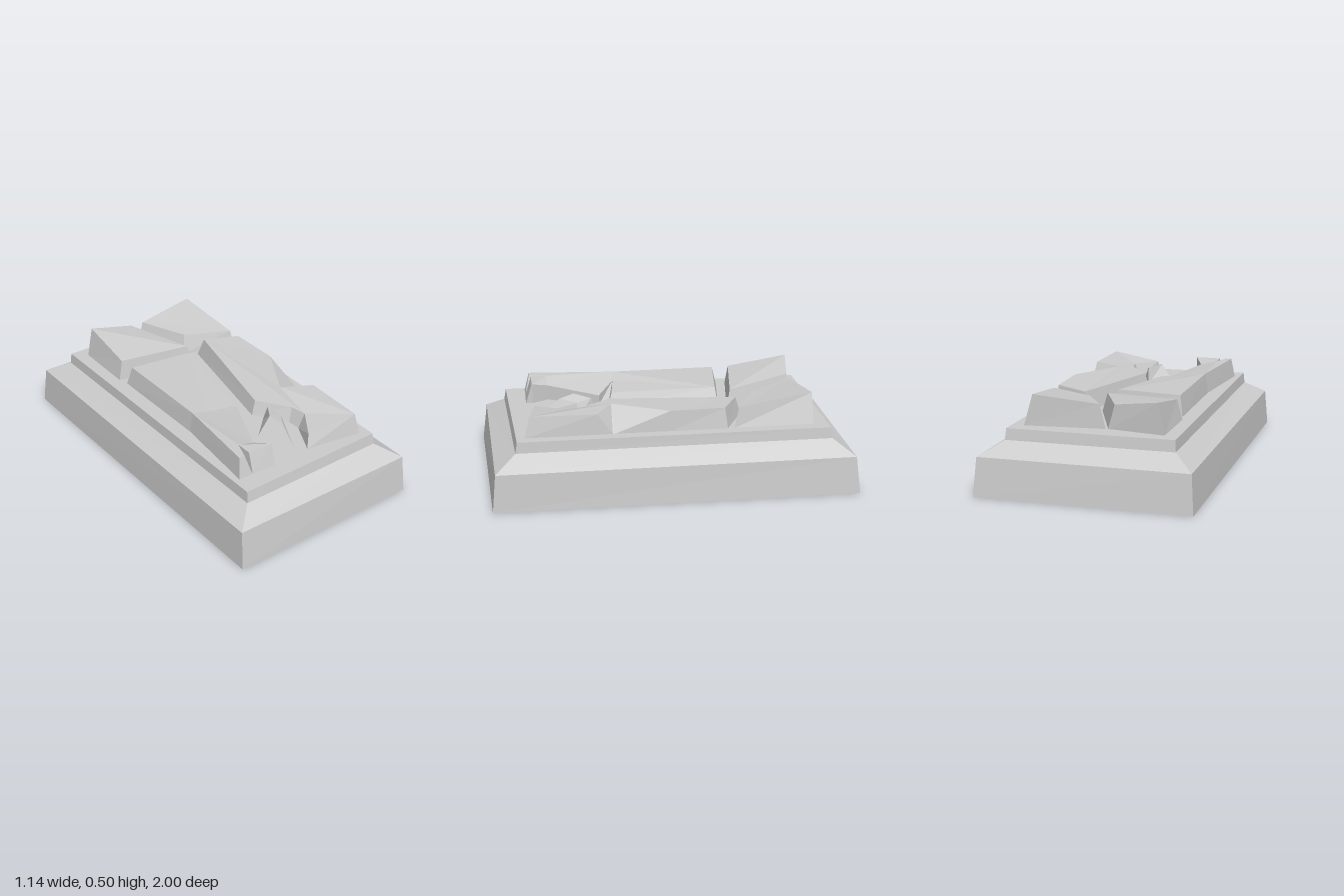
import * as THREE from 'three';

const material = new THREE.MeshStandardMaterial({ color: 0xcccccc, flatShading: true, side: THREE.DoubleSide });

// Stacks rings of [x, y, z] corners (clockwise seen from above) and caps the last one
function loft(name, rings, closeBottom = false) {
  const pos = [];
  const tri = (a, b, c) => pos.push(...a, ...b, ...c);
  for (let r = 0; r < rings.length - 1; r++) {
    const lo = rings[r], hi = rings[r + 1];
    lo.forEach((_, i) => {
      const j = (i + 1) % lo.length;
      tri(lo[j], lo[i], hi[i]);
      tri(lo[j], hi[i], hi[j]);
    });
  }
  const cap = (ring, up) => {
    const flat = ring.map(p => new THREE.Vector2(p[0], p[2]));
    for (const [i, j, k] of THREE.ShapeUtils.triangulateShape(flat, [])) {
      const [a, b, c] = [ring[i], ring[j], ring[k]];
      const ny = (b[2] - a[2]) * (c[0] - a[0]) - (b[0] - a[0]) * (c[2] - a[2]);
      if ((ny > 0) === up) tri(a, b, c); else tri(a, c, b);
    }
  };
  cap(rings[rings.length - 1], true);
  if (closeBottom) cap(rings[0], false);
  const geometry = new THREE.BufferGeometry();
  geometry.setAttribute('position', new THREE.Float32BufferAttribute(pos, 3));
  geometry.computeVertexNormals();
  const mesh = new THREE.Mesh(geometry, material);
  mesh.name = name;
  return mesh;
}

const level = (y, points) => points.map(([x, z]) => [x, y, z]);

// A broken slab piece: each corner is [baseX, baseZ, topX, topY, topZ]
const slab = (name, corners) => loft(name, [
  corners.map(([x, z]) => [x, 0.333, z]),
  corners.map(c => c.slice(2)),
]);

export function createModel() {
  const group = new THREE.Group();
  group.name = 'brokenTomb';

  // Slightly crooked stepped plinth
  group.add(loft('plinth', [
    level(0, [[-0.572, -0.99], [0.572, -1], [0.56, 0.955], [-0.55, 0.995]]),
    level(0.205, [[-0.557, -0.968], [0.557, -0.975], [0.55, 0.935], [-0.537, 0.968]]),
    level(0.275, [[-0.448, -0.857], [0.445, -0.868], [0.437, 0.825], [-0.427, 0.863]]),
    level(0.335, [[-0.443, -0.85], [0.44, -0.86], [0.433, 0.815], [-0.422, 0.853]]),
  ], true));

  // Two tilted pieces at the back
  group.add(slab('backRightPiece', [
    [-0.37, -0.78, -0.337, 0.5, -0.78],
    [-0.06, -0.73, -0.097, 0.465, -0.735],
    [0.093, -0.355, 0.055, 0.44, -0.378],
    [-0.37, -0.43, -0.343, 0.445, -0.442],
  ]));
  group.add(slab('backLeftPiece', [
    [-0.05, -0.735, -0.018, 0.462, -0.735],
    [0.375, -0.78, 0.328, 0.5, -0.775],
    [0.375, -0.345, 0.36, 0.447, -0.372],
    [0.095, -0.47, 0.115, 0.445, -0.49],
  ]));

  // Long piece with a crack in its inner edge and a chip in its front edge
  group.add(slab('longRightPiece', [
    [-0.355, -0.375, -0.335, 0.445, -0.345],
    [0.06, -0.315, 0.017, 0.445, -0.3],
    [-0.045, 0.29, -0.067, 0.41, 0.27],
    [-0.05, 0.293, -0.235, 0.425, 0.247],
    [-0.085, 0.34, -0.085, 0.39, 0.34],
    [-0.21, 0.62, -0.21, 0.42, 0.62],
    [-0.163, 0.705, -0.163, 0.445, 0.705],
    [-0.163, 0.745, -0.163, 0.445, 0.71],
    [-0.305, 0.745, -0.305, 0.445, 0.708],
    [-0.306, 0.744, -0.307, 0.445, 0.62],
    [-0.308, 0.745, -0.34, 0.445, 0.718],
    [-0.39, 0.745, -0.373, 0.445, 0.718],
    [-0.345, 0.24, -0.328, 0.445, 0.24],
  ]));

  // Long piece with a wedge broken out of its outer edge
  group.add(slab('longLeftPiece', [
    [0.16, -0.42, 0.182, 0.44, -0.385],
    [0.377, -0.31, 0.362, 0.447, -0.295],
    [0.377, 0, 0.37, 0.447, 0],
    [0.375, 0.3, 0.21, 0.445, 0.3],
    [0.377, 0.308, 0.37, 0.447, 0.39],
    [0.377, 0.772, 0.362, 0.447, 0.745],
    [0.06, 0.728, 0.083, 0.407, 0.705],
    [0.145, 0.545, 0.182, 0.415, 0.55],
    [0.14, 0.475, 0.165, 0.415, 0.46],
    [0.02, 0.3, 0.045, 0.415, 0.293],
  ]));

  // Loose fragment between the long pieces
  group.add(slab('fragment', [
    [-0.073, 0.48, -0.005, 0.437, 0.487],
    [0.045, 0.365, 0.052, 0.425, 0.395],
    [0.1, 0.47, 0.078, 0.41, 0.475],
    [0.01, 0.68, 0.022, 0.42, 0.565],
  ]));

  return group;
}
